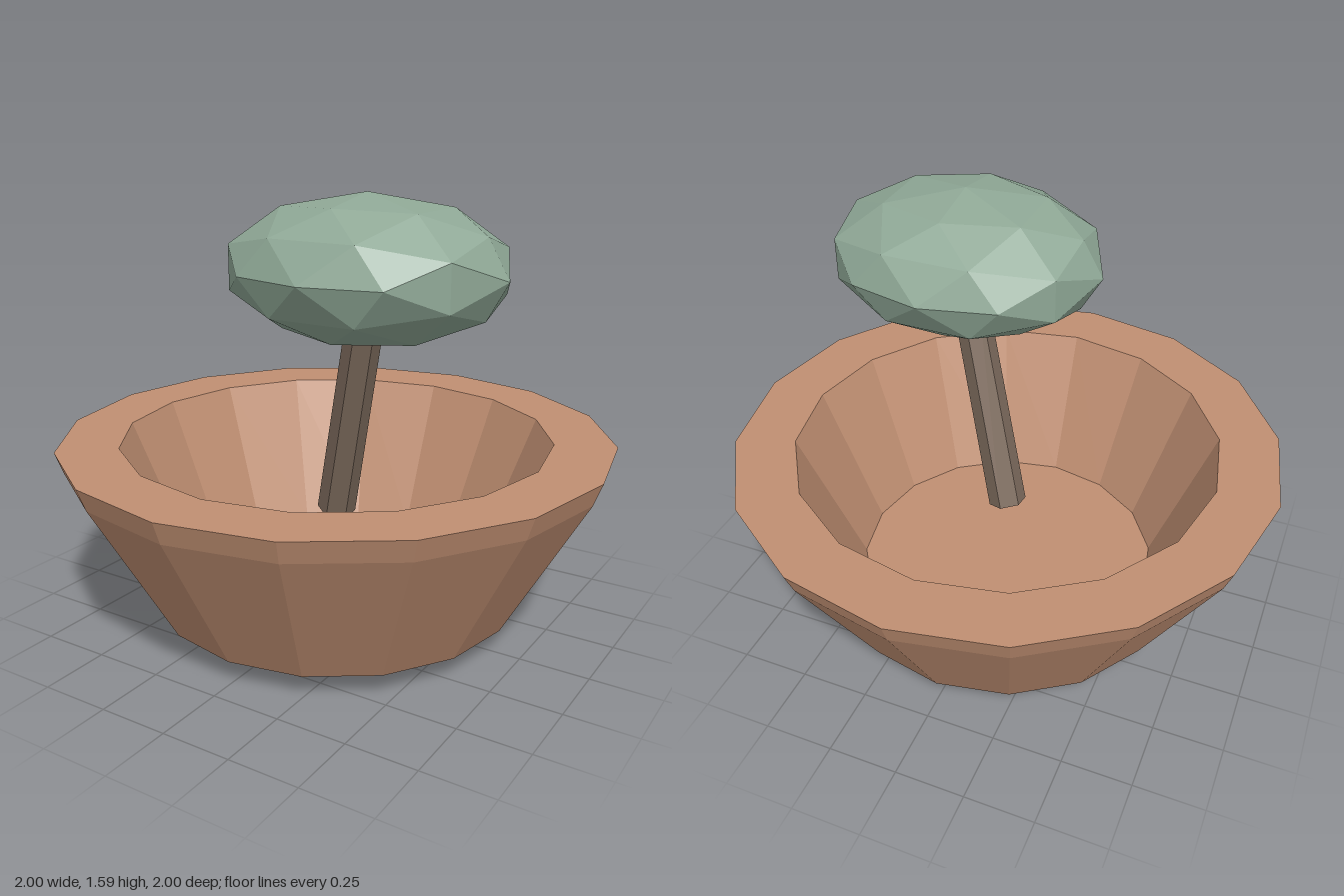
import * as THREE from 'three';

function part(name, geometry, color) {
  const mesh = new THREE.Mesh(geometry, new THREE.MeshStandardMaterial({ color, flatShading: true }));
  mesh.name = name;
  return mesh;
}

export function createModel() {
  const model = new THREE.Group();
  model.name = 'pottedTree';

  // Hollow pot: shallow pointed underside, flared wall, flat rim, inner wall and floor
  const profile = [
    [0, 0], [0.67, 0.085], [0.97, 0.615], [1, 0.695], [0.78, 0.695], [0.56, 0.155], [0, 0.155],
  ].map(([r, y]) => new THREE.Vector2(r, y));
  model.add(part('pot', new THREE.LatheGeometry(profile, 16), 0xc08f72));

  // Leaning trunk, running from inside the pot into the foliage
  const base = new THREE.Vector3(0, 0.405, 0);
  const top = new THREE.Vector3(0.22, 1.23, 0.155);
  const axis = top.clone().sub(base);
  const trunk = part('trunk', new THREE.CylinderGeometry(0.064, 0.07, axis.length(), 6), 0x7d6b5d);
  trunk.position.copy(base).lerp(top, 0.5);
  trunk.quaternion.setFromUnitVectors(new THREE.Vector3(0, 1, 0), axis.normalize());
  model.add(trunk);

  // Faceted foliage, flattened into an ellipsoid
  const crown = new THREE.IcosahedronGeometry(1, 1).rotateY(Math.PI / 2).scale(0.5, 0.248, 0.415);
  const foliage = part('foliage', crown, 0x8fa896);
  foliage.position.set(0.22, 1.337, 0.165);
  model.add(foliage);

  return model;
}
